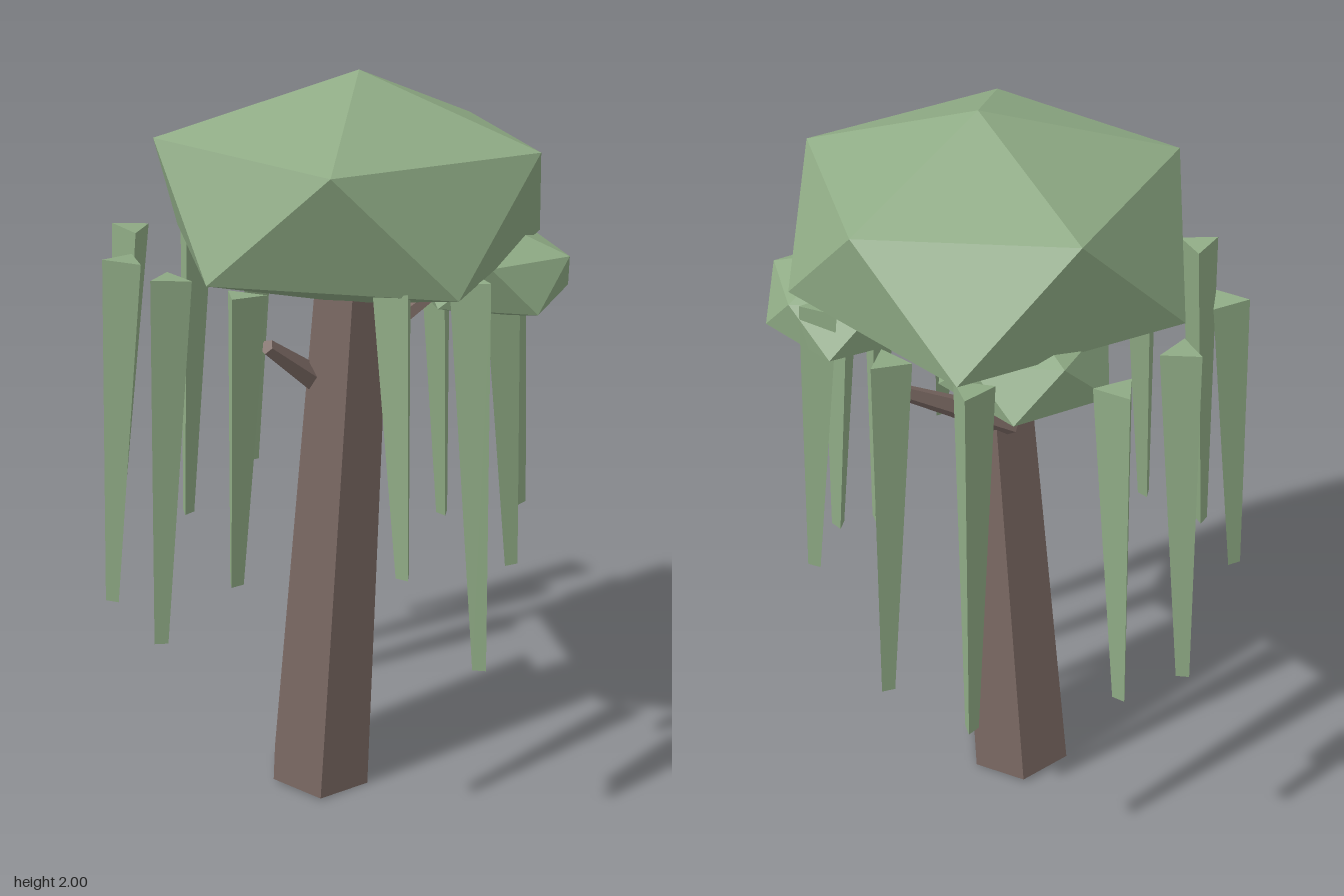
import * as THREE from 'three';
import { ConvexGeometry } from 'three/addons/geometries/ConvexGeometry.js';

const V = (x, y, z) => new THREE.Vector3(x, y, z);
const leafMat = new THREE.MeshStandardMaterial({ color: 0x8fab85, flatShading: true });
const barkMat = new THREE.MeshStandardMaterial({ color: 0x7d6b65, flatShading: true });

// Tapered prism from point a to point b; spin turns its corners about its axis
function taper(name, a, b, ra, rb, sides, spin, mat) {
  const dir = b.clone().sub(a);
  const geo = new THREE.CylinderGeometry(rb, ra, dir.length(), sides);
  geo.rotateY(spin);
  const mesh = new THREE.Mesh(geo, mat);
  // Tilt about a horizontal axis only, so the spin is kept
  mesh.quaternion.setFromUnitVectors(V(0, 1, 0), dir.normalize());
  mesh.position.copy(a).add(b).multiplyScalar(0.5);
  mesh.name = name;
  return mesh;
}

// Uneven twenty-sided foliage shape: two poles and two rings of five
const foliage = [
  [0.04, 2.0, 0.09], [0.04, 1.43, 0.07],
  [0.45, 1.845, 0.09], [0.175, 1.855, 0.52], [-0.34, 1.86, 0.37], [-0.35, 1.86, -0.19], [0.175, 1.855, -0.32],
  [-0.445, 1.59, 0.09], [-0.11, 1.58, 0.535], [0.41, 1.6, 0.36], [0.45, 1.6, -0.21], [-0.12, 1.57, -0.395],
].map((p) => V(...p));
const foliageCentre = V(0.02, 1.72, 0.08);

function clump(name, centre, size) {
  const points = foliage.map((p) => p.clone().sub(foliageCentre).multiplyScalar(size).add(centre));
  const mesh = new THREE.Mesh(new ConvexGeometry(points), leafMat);
  mesh.name = name;
  return mesh;
}

export function createModel() {
  const tree = new THREE.Group();
  tree.name = 'willowTree';

  // Leaning hexagonal trunk and two side branches
  tree.add(taper('trunk', V(0.01, 0.01, -0.005), V(0.035, 1.52, 0.08), 0.155, 0.1, 6, Math.PI / 12, barkMat));
  tree.add(taper('leftBranch', V(0.06, 1.22, -0.02), V(0.31, 1.385, 0.09), 0.038, 0.02, 5, 0, barkMat));
  tree.add(taper('rightBranch', V(-0.02, 1.22, 0.03), V(-0.2, 1.365, 0.02), 0.038, 0.02, 5, 0, barkMat));

  // Crown with two smaller clumps under it
  tree.add(clump('crown', foliageCentre, 1));
  tree.add(clump('frontClump', V(0.25, 1.53, 0.335), 0.42));
  tree.add(clump('backClump', V(0.17, 1.53, -0.16), 0.42));

  // Hanging fronds, given by their lower ends
  const tips = [
    [0, 0.64, -0.55], [0.25, 0.74, -0.535], [0.49, 0.63, -0.26], [0.53, 0.64, -0.01],
    [0.45, 0.82, 0.32], [0.25, 0.76, 0.45], [0.015, 0.59, 0.55], [-0.19, 0.9, 0.47],
    [-0.49, 0.9, 0.21], [-0.53, 0.655, -0.03], [-0.51, 0.68, -0.245], [-0.29, 0.8, -0.49],
  ];
  const fronds = new THREE.Group();
  fronds.name = 'fronds';
  for (const [x, y, z] of tips) {
    const top = V(x * 0.855, 1.585, z * 0.855);
    fronds.add(taper('frond', V(x, y, z), top, 0.02, 0.054, 3, Math.atan2(x, z), leafMat));
  }
  tree.add(fronds);
  return tree;
}
